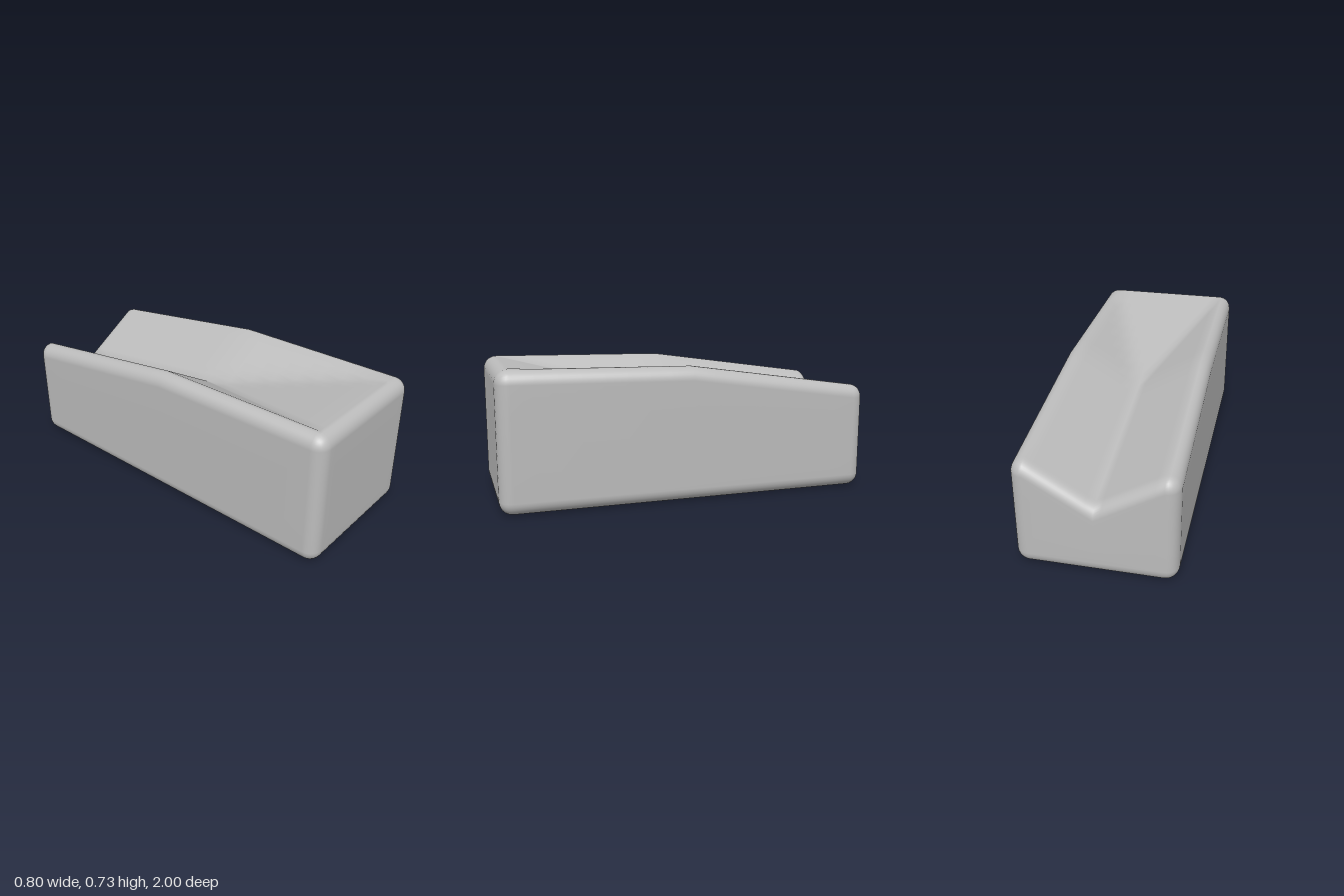
import * as THREE from 'three';
import { mergeVertices } from 'three/addons/utils/BufferGeometryUtils.js';

const W = 0.8, H = 0.725, D = 2, R = 0.07; // overall size and edge radius
const CORNER = 4;                          // segments across each rounded edge

// Height of the top: flat at the front, opening into a V trough to the back
function topHeight(x, z) {
  const inner = D / 2 - R;
  const s = Math.min(Math.abs(x) / (W / 2 - R), 1);
  const t = Math.min(Math.abs(z) / inner, 1);
  if (z > 0) return s < t ? 0.51 + 0.215 * t : 0.51 + 0.2 * s + 0.015 * t;
  return s < t ? 0.51 - 0.13 * t + 0.195 * s : 0.51 + 0.2 * s - 0.135 * t;
}

// Moves evenly spaced grid lines so that CORNER of them fall in each edge strip
function spread(v, size, innerSegs) {
  const n = innerSegs + 2 * CORNER;
  const i = Math.round((v / size + 0.5) * n);
  if (i <= CORNER) return -size / 2 + (R * i) / CORNER;
  if (i >= n - CORNER) return size / 2 - (R * (n - i)) / CORNER;
  return -size / 2 + R + ((size - 2 * R) * (i - CORNER)) / innerSegs;
}

function bodyGeometry() {
  const size = [W, H, D], segs = [16, 4, 16];
  let geo = new THREE.BoxGeometry(W, H, D, ...segs.map((s) => s + 2 * CORNER));
  const pos = geo.attributes.position;
  const p = new THREE.Vector3(), core = new THREE.Vector3();
  const limit = new THREE.Vector3(W / 2 - R, H / 2 - R, D / 2 - R);
  const negLimit = limit.clone().negate();
  for (let i = 0; i < pos.count; i++) {
    p.fromBufferAttribute(pos, i);
    p.set(...p.toArray().map((v, a) => spread(v, size[a], segs[a])));
    // round the edges and corners
    core.copy(p).clamp(negLimit, limit);
    p.sub(core).setLength(R).add(core);
    p.y += H / 2;
    // lower the top while the base stays flat
    const k = THREE.MathUtils.clamp((p.y - R) / (H - 2 * R), 0, 1);
    p.y += (topHeight(p.x, p.z) - H) * k;
    pos.setXYZ(i, p.x, p.y, p.z);
  }
  // weld the faces for smooth shading
  geo.deleteAttribute('uv');
  geo.deleteAttribute('normal');
  geo = mergeVertices(geo, 1e-4);
  geo.computeVertexNormals();
  return geo;
}

export function createModel() {
  const group = new THREE.Group();
  group.name = 'troughedBlock';
  const grey = new THREE.MeshStandardMaterial({ color: 0xbcbcbc });
  grey.name = 'light grey';
  const body = new THREE.Mesh(bodyGeometry(), grey);
  body.name = 'body';
  group.add(body);
  return group;
}
